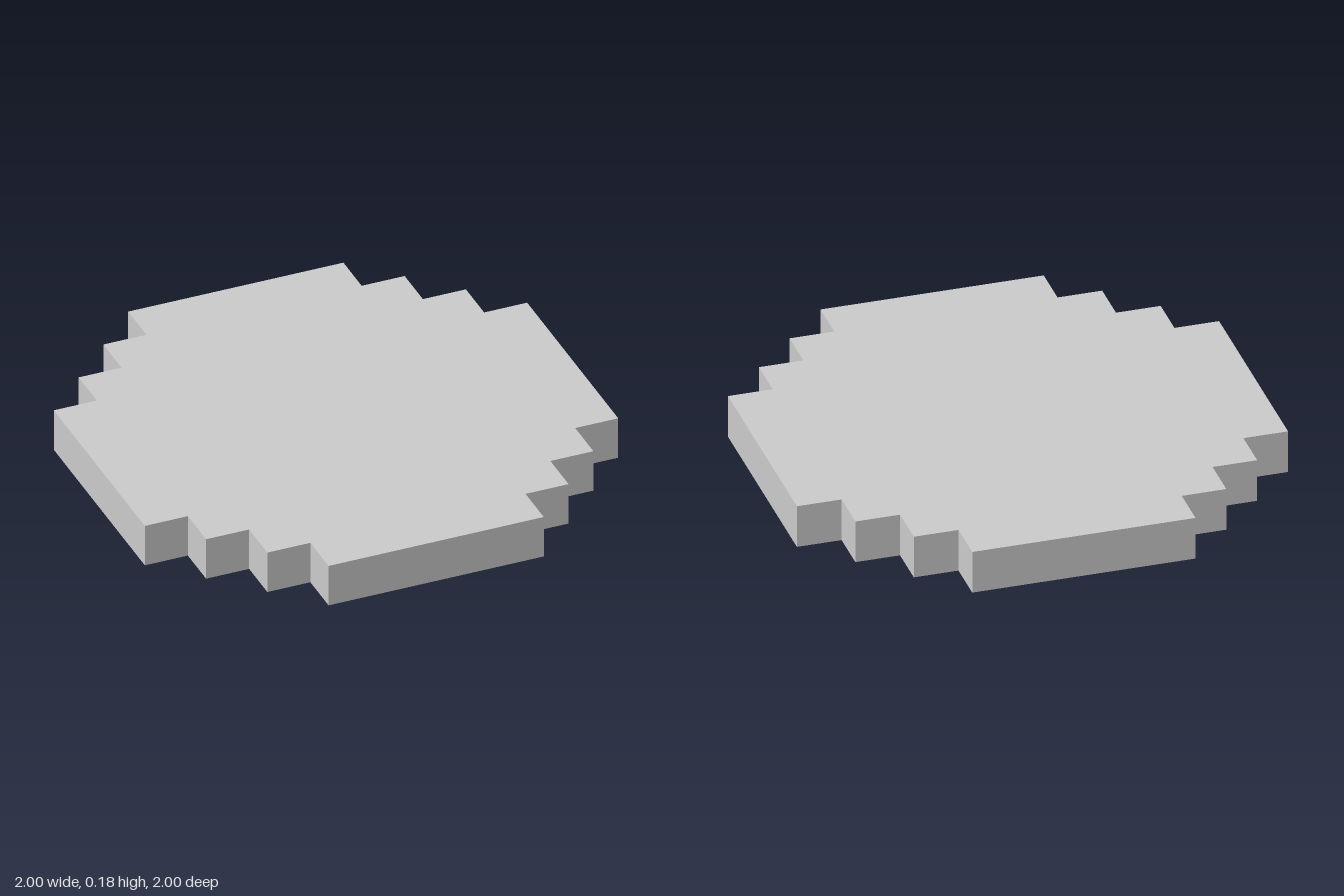
import * as THREE from 'three';

const CELL = 2 / 11; // the disc is 11 square cells wide and one cell thick

// Outline of a stepped disc: one staircase corner turned through four quarters
function steppedOutline() {
  const stairs = [];
  for (let i = 0; i < 4; i++) {
    stairs.push([5.5 - i, 2.5 + i]);
    if (i < 3) stairs.push([4.5 - i, 2.5 + i]);
  }
  const points = [];
  for (let quarter = 0; quarter < 4; quarter++) {
    for (const [x, y] of stairs) {
      const p = new THREE.Vector2(x * CELL, y * CELL);
      points.push(p.rotateAround(new THREE.Vector2(), quarter * Math.PI / 2));
    }
  }
  return new THREE.Shape(points);
}

export function createModel() {
  const group = new THREE.Group();
  group.name = 'steppedDisc';

  // Flat slab lying on the ground
  const geometry = new THREE.ExtrudeGeometry(steppedOutline(), { depth: CELL, bevelEnabled: false });
  geometry.rotateX(-Math.PI / 2);
  const slab = new THREE.Mesh(geometry, new THREE.MeshStandardMaterial({ color: 0xcccccc, flatShading: true }));
  slab.name = 'slab';
  group.add(slab);
  return group;
}
